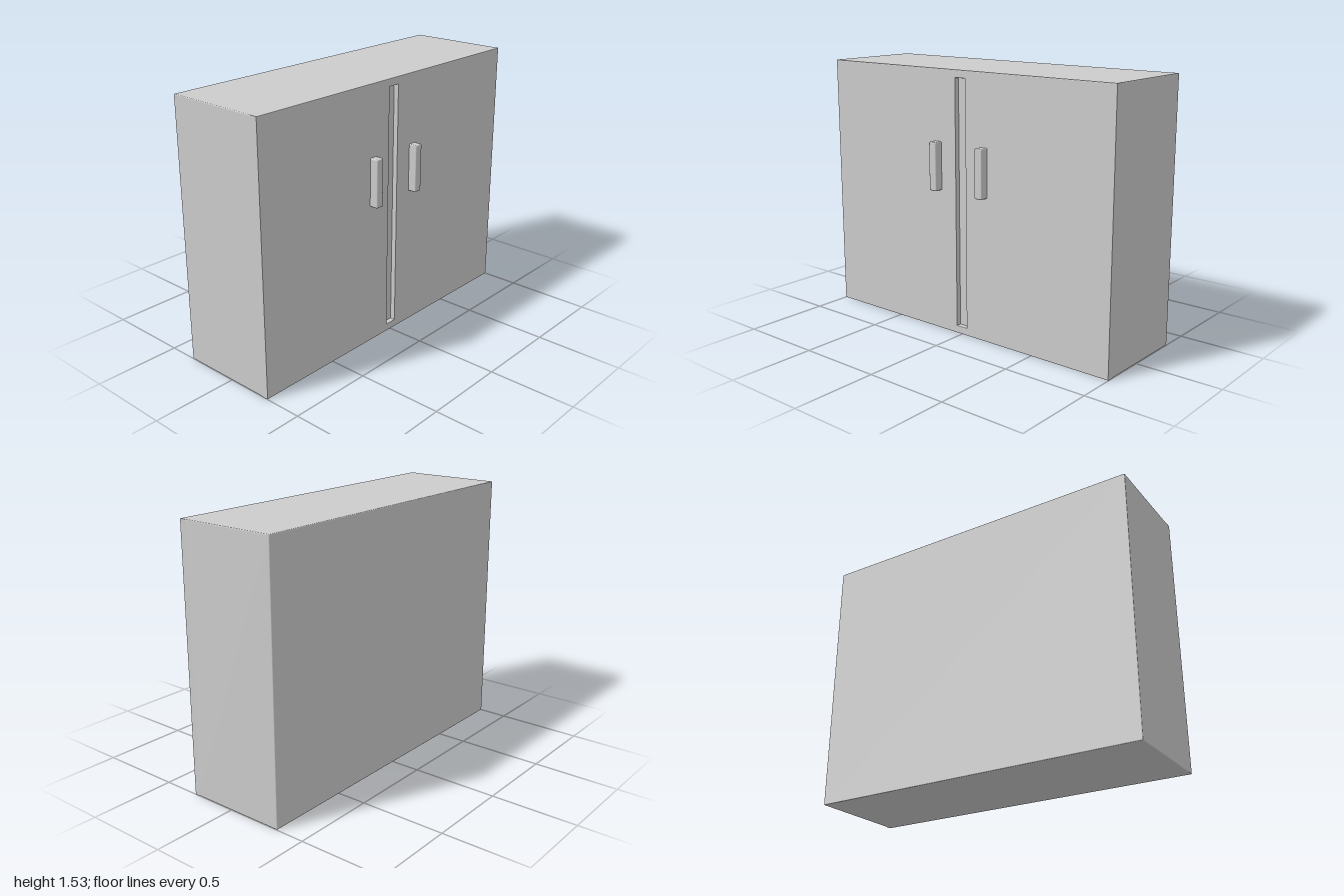
import * as THREE from 'three';
import { RoundedBoxGeometry } from 'three/addons/geometries/RoundedBoxGeometry.js';

const WIDTH = 2, HEIGHT = 1.53;
const BACK = -0.33, FRONT = 0.28, FLOOR = 0.25; // x of back, door face and groove bottom
const EDGE = 0.005;

// Traces a rectangle centred on u = 0 between two heights
function rectangle(path, width, bottom, top) {
  const w = width / 2;
  path.moveTo(-w, bottom);
  path.lineTo(w, bottom);
  path.lineTo(w, top);
  path.lineTo(-w, top);
  path.closePath();
  return path;
}

export function createModel() {
  const group = new THREE.Group();
  group.name = 'cabinet';
  const material = new THREE.MeshStandardMaterial({ color: 0xcccccc });

  const add = (name, geometry, x, y, z) => {
    const mesh = new THREE.Mesh(geometry, material);
    mesh.name = name;
    mesh.position.set(x, y, z);
    group.add(mesh);
  };

  // Main body, its front face forms the bottom of the groove
  const depth = FLOOR - BACK;
  add('carcass', new RoundedBoxGeometry(depth, HEIGHT, WIDTH, 2, EDGE), BACK + depth / 2, HEIGHT / 2, 0);

  // Door panel with softened edges and a tall groove between the two doors
  const panel = rectangle(new THREE.Shape(), WIDTH - 2 * EDGE, EDGE, HEIGHT - EDGE);
  panel.holes.push(rectangle(new THREE.Path(), 0.072 + 2 * EDGE, 0.045 - EDGE, 1.485 + EDGE));
  const start = FLOOR - 0.015;
  const doors = new THREE.ExtrudeGeometry(panel, {
    depth: FRONT - start - 2 * EDGE,
    bevelThickness: EDGE, bevelSize: EDGE, bevelSegments: 2,
  });
  doors.rotateY(Math.PI / 2);
  add('doorPanel', doors, start + EDGE, 0, 0);

  // Handles, sunk slightly into the doors
  const handle = new RoundedBoxGeometry(0.06, 0.28, 0.05, 2, 0.006);
  for (const side of [-1, 1]) {
    add(side > 0 ? 'frontHandle' : 'rearHandle', handle, 0.30, 0.98, side * 0.167);
  }
  return group;
}
